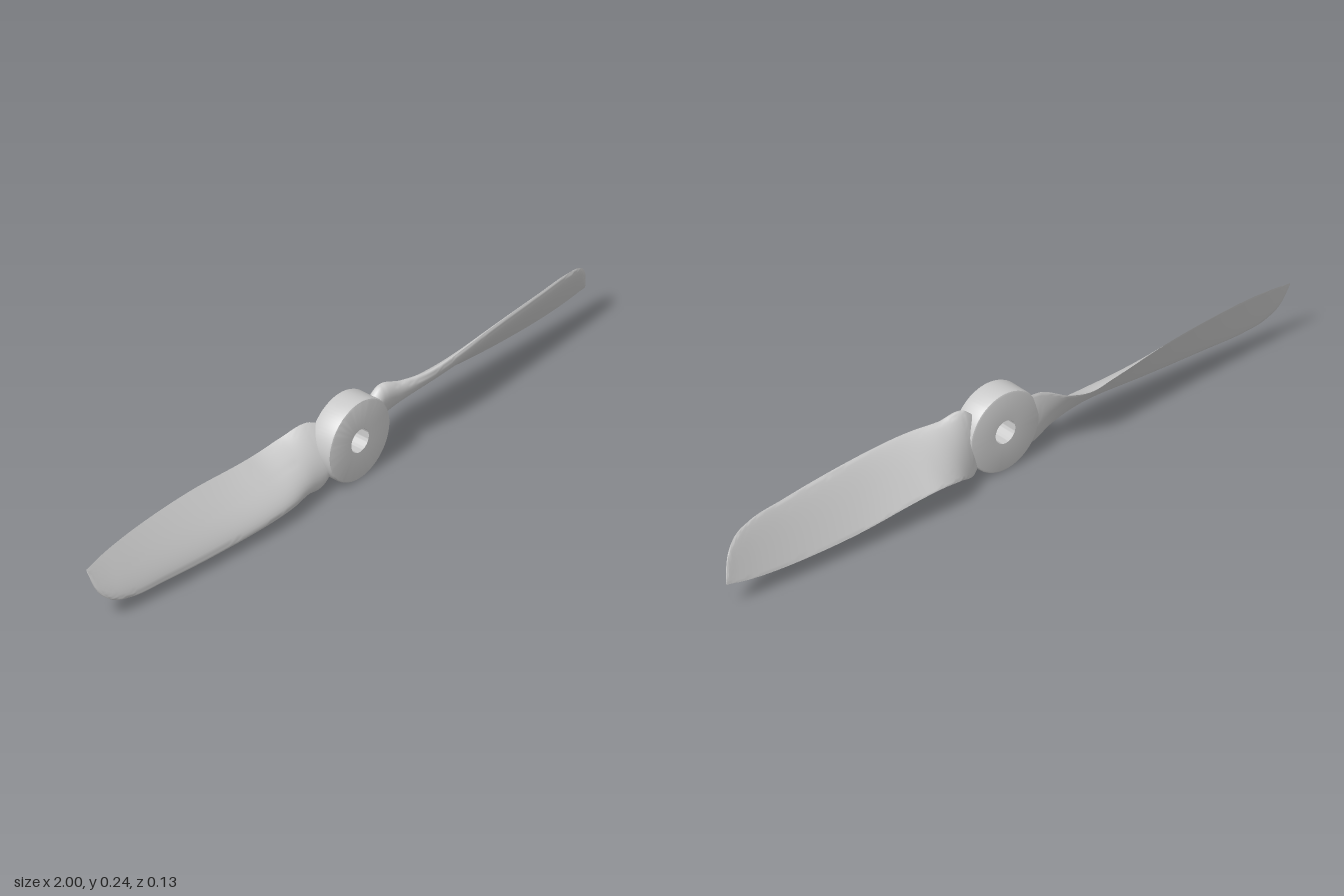
import * as THREE from 'three';
import { toCreasedNormals } from 'three/addons/utils/BufferGeometryUtils.js';

const material = new THREE.MeshStandardMaterial({ color: 0xcccccc });
const HUB_R = 0.122;

// Blade stations: x, leading edge (y, z), trailing edge (y, z), thickness; y is relative to the hub axis
const stations = [
  [0.085, 0.075, 0.012, -0.07, -0.012, 0.045],
  [0.12, 0.102, 0.016, -0.08, -0.032, 0.046],
  [0.19, 0.088, 0.034, -0.053, -0.062, 0.044],
  [0.26, 0.083, 0.052, -0.039, -0.073, 0.036],
  [0.34, 0.084, 0.056, -0.044, -0.069, 0.03],
  [0.55, 0.089, 0.043, -0.066, -0.059, 0.024],
  [0.75, 0.086, 0.027, -0.071, -0.049, 0.019],
  [0.88, 0.08, 0.014, -0.065, -0.042, 0.015],
  [0.95, 0.056, -0.001, -0.056, -0.038, 0.011],
  [0.985, 0.012, -0.018, -0.049, -0.035, 0.007],
  [1.0, -0.038, -0.031, -0.047, -0.034, 0.002],
];

// Airfoil half-loop height for a position s along the chord
const airfoil = s => 2.97 * Math.sqrt(s) - 1.26 * s - 3.516 * s * s + 2.843 * s ** 3 - 1.015 * s ** 4;

function bladeGeometry() {
  const rows = 70, half = 18, n = half * 2;
  const curve = new THREE.CubicInterpolant(stations.map(s => s[0]), stations.flatMap(s => s.slice(1)), 5);
  const pos = [], idx = [];
  for (let i = 0; i <= rows; i++) {
    // rows crowd together toward root and tip
    const u = i / rows;
    const x = 0.085 + 0.915 * (0.3 * u + 0.7 * (1 - Math.cos(Math.PI * u)) / 2);
    const [yl, zl, yt, zt, thick] = curve.evaluate(Math.min(x, 1));
    const dy = yt - yl, dz = zt - zl, len = Math.hypot(dy, dz);
    for (let j = 0; j < n; j++) {
      // down the curved front face, back up the flatter rear face
      const s = (1 - Math.cos(2 * Math.PI * j / n)) / 2;
      const h = thick * Math.max(airfoil(s), 0) * (j <= half ? 0.75 : -0.25);
      pos.push(x, yl + dy * s + (dz / len) * h, zl + dz * s - (dy / len) * h);
    }
  }
  for (let i = 0; i < rows; i++) {
    for (let j = 0; j < n; j++) {
      const a = i * n + j, b = i * n + (j + 1) % n;
      idx.push(a, b, a + n, b, b + n, a + n);
    }
  }
  // end caps
  const tip = rows * n;
  for (let j = 1; j < n - 1; j++) idx.push(0, j + 1, j, tip, tip + j, tip + j + 1);
  const g = new THREE.BufferGeometry();
  g.setAttribute('position', new THREE.Float32BufferAttribute(pos, 3));
  g.setIndex(idx);
  return toCreasedNormals(g, 0.9);
}

// Bored disc with softly bevelled outer rims
function hubGeometry() {
  const bore = 0.035, z0 = -0.022, z1 = 0.054, b = 0.007;
  const profile = [
    [bore, z0], [HUB_R - b, z0], [HUB_R - b * 0.3, z0 + b * 0.3], [HUB_R, z0 + b],
    [HUB_R, z1 - b], [HUB_R - b * 0.3, z1 - b * 0.3], [HUB_R - b, z1], [bore, z1], [bore, z0],
  ].map(p => new THREE.Vector2(...p));
  const g = new THREE.LatheGeometry(profile, 72);
  g.rotateX(Math.PI / 2);
  return toCreasedNormals(g, 0.6);
}

export function createModel() {
  const propeller = new THREE.Group();
  propeller.name = 'propeller';
  const hub = new THREE.Mesh(hubGeometry(), material);
  hub.name = 'hub';
  propeller.add(hub);

  // Two identical blades, half a turn apart
  const blade = bladeGeometry();
  ['leftBlade', 'rightBlade'].forEach((name, i) => {
    const mesh = new THREE.Mesh(blade, material);
    mesh.name = name;
    mesh.rotation.z = i * Math.PI;
    propeller.add(mesh);
  });
  propeller.position.y = HUB_R;

  const model = new THREE.Group();
  model.add(propeller);
  return model;
}
